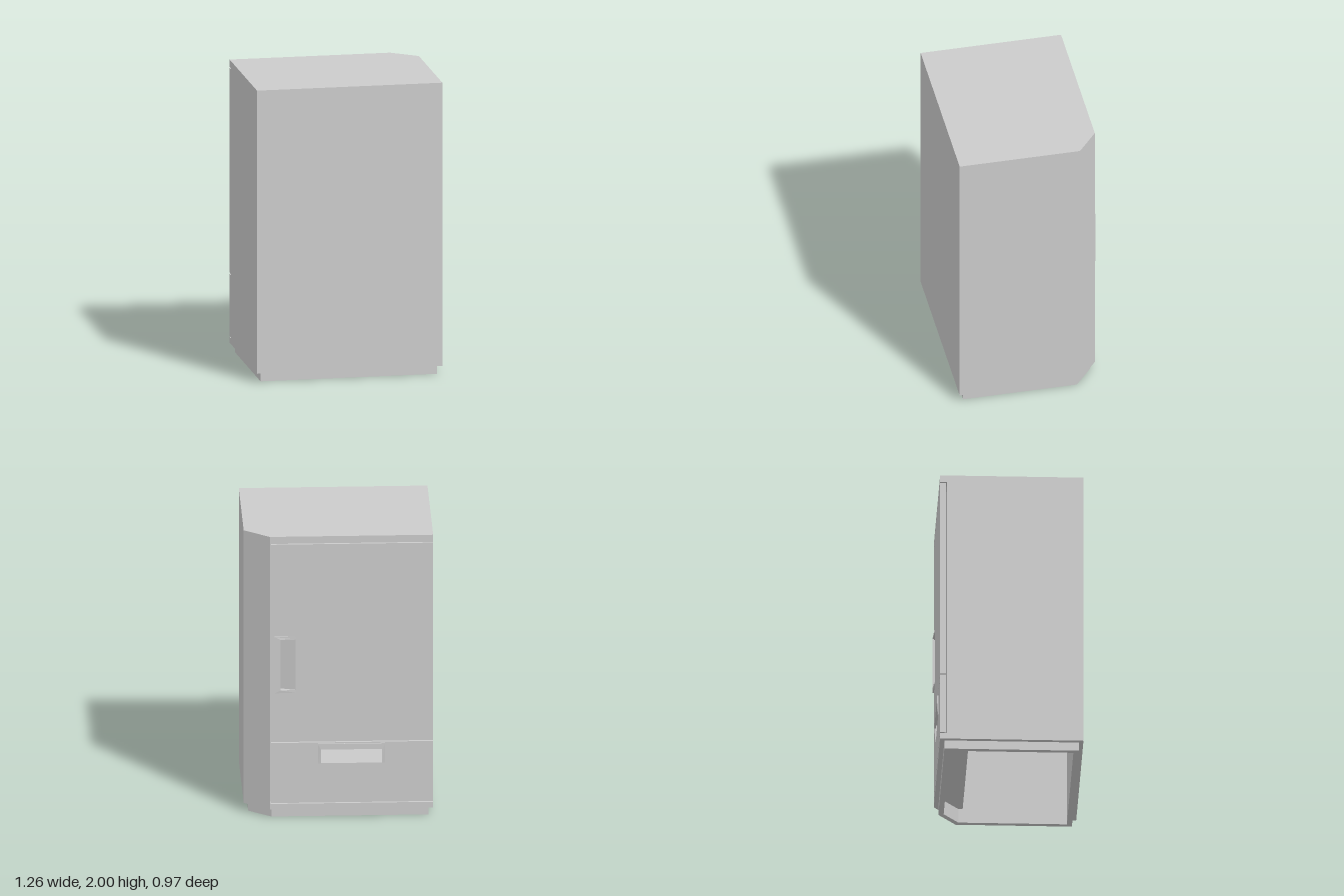
import * as THREE from 'three';

const material = new THREE.MeshStandardMaterial({ color: 0xcccccc, flatShading: true });
const BACK = -0.477;   // outer face of the door side
const THICK = 0.04;    // door and drawer panel thickness

function mesh(name, geometry) {
  const m = new THREE.Mesh(geometry, material);
  m.name = name;
  return m;
}

// Plan outline (x, -z) with one clipped corner, inset by d
function plan(d) {
  return [
    [-0.632 + d, -0.482 + d], [0.63 - d, -0.482 + d],
    [0.63 - d, 0.34 - 0.479 * d], [0.46 - 0.352 * d, -BACK - d],
    [-0.632 + d, -BACK - d],
  ];
}

const toVectors = (points) => points.map(([x, y]) => new THREE.Vector2(x, y));

function extrude(points, hole, depth) {
  const shape = new THREE.Shape(toVectors(points));
  if (hole) shape.holes.push(new THREE.Path(toVectors(hole)));
  return new THREE.ExtrudeGeometry(shape, { depth, bevelEnabled: false });
}

// Horizontal slice of the cabinet between two heights
function slice(name, points, hole, y0, y1) {
  return mesh(name, extrude(points, hole, y1 - y0).rotateX(-Math.PI / 2).translate(0, y0, 0));
}

const rect = (x0, x1, y0, y1) => [[x0, y0], [x1, y0], [x1, y1], [x0, y1]];

// Recessed pull: length along local y, open towards local -x
function pull(name, length) {
  const group = new THREE.Group();
  group.name = name;
  const h = length / 2, inner = h - 0.02;

  // Raised rim on three sides, fading out towards the open side
  const rim = extrude([
    [-0.07, -h], [0.07, -h], [0.07, h], [-0.07, h],
    [-0.07, inner], [0.03, inner], [0.03, -inner], [-0.07, -inner],
  ], null, 1);
  const p = rim.attributes.position;
  for (let i = 0; i < p.count; i++) {
    const raised = 0.002 + 0.008 * Math.min(1, (p.getX(i) + 0.07) / 0.08);
    p.setZ(i, p.getZ(i) < 0.5 ? BACK - raised : BACK);
  }
  rim.computeVertexNormals();
  group.add(mesh(name + 'Rim', rim));

  // Sloping floor of the finger recess, deepest beneath the rim
  const floor = extrude([
    [-0.07, -BACK], [-0.07, -BACK - THICK], [0.05, -BACK - THICK],
  ], null, 2 * inner).rotateX(-Math.PI / 2).translate(0, -inner, 0);
  group.add(mesh(name + 'Recess', floor));
  return group;
}

// Panel with an opening for its pull
function panel(name, outline, opening) {
  return mesh(name, extrude(outline, opening, THICK).translate(0, 0, BACK));
}

export function createModel() {
  const model = new THREE.Group();
  model.name = 'cabinet';

  // Hollow carcass on an open plinth
  const cavity = plan(0.065);
  const carcass = plan(0);
  const notch = 0.43;
  const body = [...carcass.slice(0, 4), [0.457, -BACK], [0.457, notch], [-0.632, notch]];
  const bodyHole = rect(-0.567, 0.565, -0.417, 0.28);
  model.add(
    slice('plinth', plan(0.03), cavity, 0, 0.06),
    slice('bottomRail', carcass, cavity, 0.06, 0.1),
    slice('bodyWalls', body, bodyHole, 0.1, 1.95),
    slice('topPanel', carcass, null, 1.95, 2),
  );

  // Tall door with an upright pull
  model.add(panel('door', rect(-0.632, 0.452, 0.54, 1.944), rect(0.29, 0.41, 0.91, 1.27)));
  const doorPull = pull('doorPull', 0.4);
  doorPull.position.set(0.36, 1.09, 0);
  model.add(doorPull);

  // Drawer front with a level pull
  model.add(panel('drawer', rect(-0.632, 0.452, 0.106, 0.533), rect(-0.29, 0.12, 0.385, 0.505)));
  const drawerPull = pull('drawerPull', 0.45);
  drawerPull.rotation.z = Math.PI / 2;
  drawerPull.position.set(-0.085, 0.455, 0);
  model.add(drawerPull);

  return model;
}
